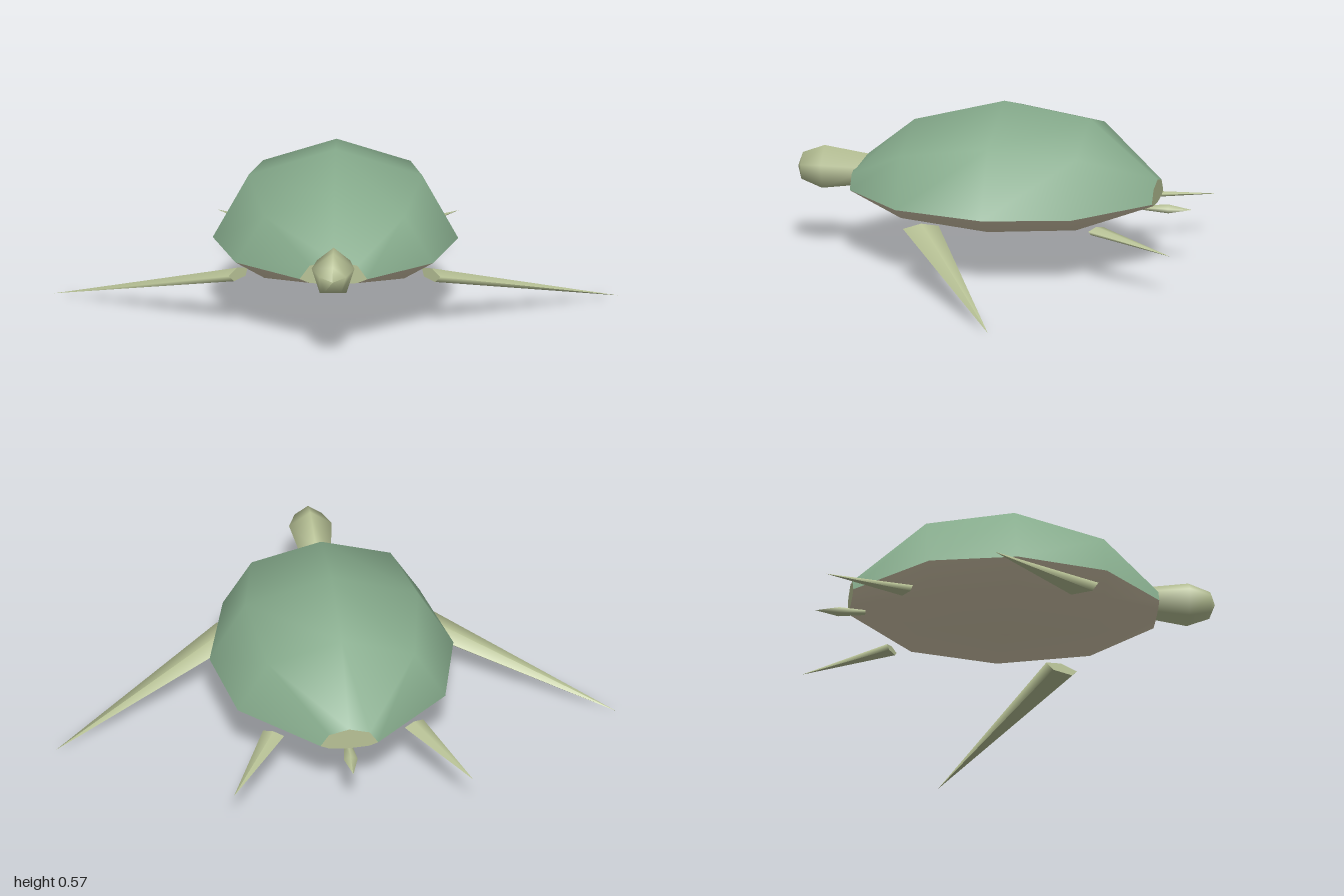
import * as THREE from 'three';

const green = new THREE.MeshStandardMaterial({ color: 0x86ab8c });
const cream = new THREE.MeshStandardMaterial({ color: 0xd8ccb0 });
const skin = new THREE.MeshStandardMaterial({ color: 0xb8c296 });

const RIM = 0.25; // height of the shell rim
// Shell stations from tail to head: z, half width, rise above rim, drop below rim
const STATIONS = [
  [-0.583, 0.103, 0.065, 0.018],
  [-0.34, 0.37, 0.275, 0.09],
  [-0.03, 0.435, 0.325, 0.105],
  [0.295, 0.35, 0.24, 0.08],
  [0.505, 0.12, 0.07, 0.02],
];

function addMesh(parent, name, geometry, material) {
  const mesh = new THREE.Mesh(geometry, material);
  mesh.name = name;
  parent.add(mesh);
  return mesh;
}

// Point on a station's cross-section at angle a (0 = +x, PI/2 = up)
function ringPoint([, halfWidth, rise, drop], a) {
  const s = Math.sin(a);
  return [halfWidth * Math.cos(a), RIM + s * (s > 0 ? rise : drop)];
}

// Half shell, lofted through the stations over a half turn
function halfShell(startAngle, segments = 4) {
  const positions = [], index = [], row = segments + 1;
  STATIONS.forEach((station, i) => {
    for (let j = 0; j <= segments; j++) {
      positions.push(...ringPoint(station, startAngle + (j / segments) * Math.PI), station[0]);
      if (i < STATIONS.length - 1 && j < segments) {
        const a = i * row + j;
        index.push(a, a + 1, a + row, a + 1, a + row + 1, a + row);
      }
    }
  });
  const geometry = new THREE.BufferGeometry();
  geometry.setAttribute('position', new THREE.Float32BufferAttribute(positions, 3));
  geometry.setIndex(index);
  geometry.computeVertexNormals();
  return geometry;
}

// Flat octagon closing one end of the shell
function endCap(station) {
  const points = [];
  for (let j = 0; j < 8; j++) points.push(new THREE.Vector2(...ringPoint(station, (j / 4) * Math.PI)));
  const geometry = new THREE.ShapeGeometry(new THREE.Shape(points));
  if (station[0] < 0) geometry.rotateY(Math.PI);
  return geometry.translate(0, 0, station[0]);
}

// Five-sided turned body; profile entries are [radius, distance along axis]
function turned(profile, phiStart) {
  return new THREE.LatheGeometry(profile.map((p) => new THREE.Vector2(...p)), 5, phiStart);
}

// Flat tapering flipper from a base point to a tip
function flipper(base, tip, halfWidth, halfThickness) {
  const dir = tip.clone().sub(base);
  const length = dir.length();
  dir.normalize();
  const across = dir.clone().cross(new THREE.Vector3(0, 1, 0)).normalize();
  const normal = across.clone().cross(dir);
  const geometry = new THREE.ConeGeometry(1, length, 5);
  geometry.translate(0, length / 2, 0);
  geometry.scale(halfWidth, 1, halfThickness);
  geometry.applyMatrix4(new THREE.Matrix4().makeBasis(across, dir, normal).setPosition(base));
  return geometry;
}

export function createModel() {
  const model = new THREE.Group();
  model.name = 'turtle';

  // Shell
  addMesh(model, 'upperShell', halfShell(0), green);
  addMesh(model, 'belly', halfShell(Math.PI), cream);
  addMesh(model, 'tailEndCap', endCap(STATIONS[0]), skin);
  addMesh(model, 'neckEndCap', endCap(STATIONS[STATIONS.length - 1]), skin);

  // Head with neck, point of the pentagon upwards
  const head = turned([[0, 0.44], [0.054, 0.44], [0.08, 0.62], [0.05, 0.698], [0, 0.715]], Math.PI);
  head.rotateX(Math.PI / 2).translate(0, 0.297, 0);
  addMesh(model, 'head', head, skin);

  // Tail, flattened
  const tail = turned([[0, 0.53], [0.014, 0.53], [0.026, 0.625], [0, 0.708]], 0);
  tail.rotateX(-Math.PI / 2).scale(1, 0.6, 1).translate(0, 0.21, 0);
  addMesh(model, 'tail', tail, skin);

  // Flippers
  for (const [side, s] of [['left', 1], ['right', -1]]) {
    const front = flipper(new THREE.Vector3(s * 0.34, 0.183, 0.205), new THREE.Vector3(s, 0, -0.17), 0.07, 0.022);
    addMesh(model, side + 'FrontFlipper', front, skin);
    const hind = flipper(new THREE.Vector3(s * 0.25, 0.186, -0.41), new THREE.Vector3(s * 0.427, 0.155, -0.715), 0.043, 0.014);
    addMesh(model, side + 'HindFlipper', hind, skin);
  }
  return model;
}
